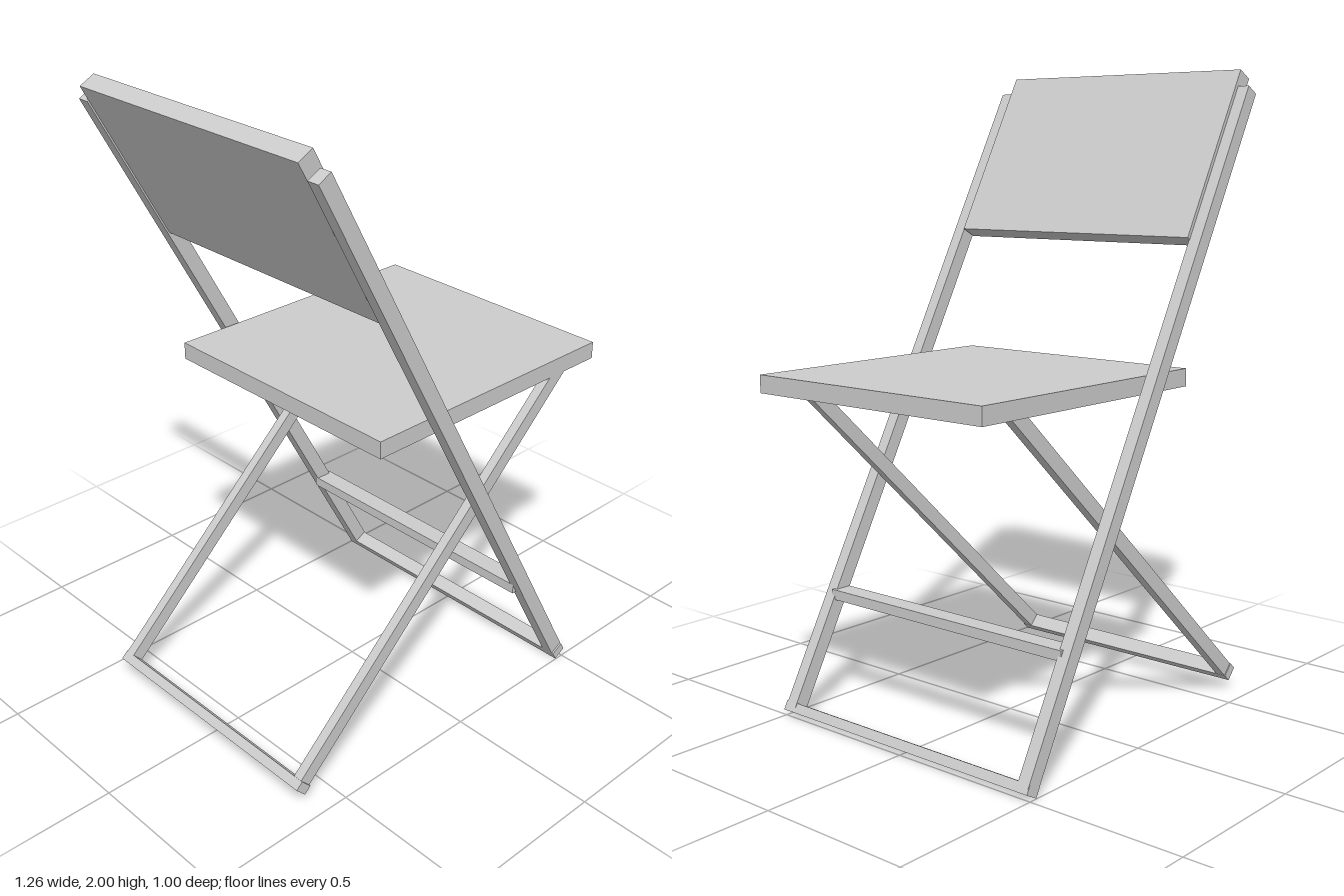
import * as THREE from 'three';

const material = new THREE.MeshStandardMaterial({ color: 0xcccccc, flatShading: true });

// Box given by its centre in x/y, its size in x/y, its z range and a tilt about z
function addBox(group, name, [x, y], [w, h], [z0, z1], tilt = 0) {
  const mesh = new THREE.Mesh(new THREE.BoxGeometry(w, h, z1 - z0), material);
  mesh.name = name;
  mesh.position.set(x, y, (z0 + z1) / 2);
  mesh.rotation.z = tilt;
  group.add(mesh);
}

// Straight bar running from a to b in the x/y plane
function addBar(group, name, a, b, width, zRange) {
  const dx = b[0] - a[0], dy = b[1] - a[1];
  addBox(group, name, [(a[0] + b[0]) / 2, (a[1] + b[1]) / 2],
    [Math.hypot(dx, dy), width], zRange, Math.atan2(dy, dx));
}

export function createModel() {
  const chair = new THREE.Group();
  chair.name = 'foldingChair';

  // Long rails: front feet up to the backrest
  const railFoot = [0.485, 0.025], railTop = [-0.555, 1.94];
  const railTilt = Math.atan2(railTop[1] - railFoot[1], railTop[0] - railFoot[0]);
  addBar(chair, 'leftRail', railFoot, railTop, 0.048, [0.452, 0.492]);
  addBar(chair, 'rightRail', railFoot, railTop, 0.048, [-0.497, -0.457]);

  // Crossing legs: rear feet up to the underside of the seat
  const legFoot = [-0.608, 0.06], legTop = [0.48, 1.066];
  const legTilt = Math.atan2(legTop[1] - legFoot[1], legTop[0] - legFoot[0]);
  addBar(chair, 'leftCrossLeg', legFoot, legTop, 0.046, [0.398, 0.429]);
  addBar(chair, 'rightCrossLeg', legFoot, legTop, 0.046, [-0.429, -0.397]);

  // Floor bars and rung
  addBox(chair, 'frontFootBar', [0.484, 0.025], [0.03, 0.046], [-0.498, 0.498], railTilt);
  addBox(chair, 'rearFootBar', legFoot, [0.03, 0.047], [-0.432, 0.434], legTilt);
  addBox(chair, 'rung', [0.298, 0.363], [0.064, 0.032], [-0.47, 0.464]);

  // Seat and backrest panels
  addBox(chair, 'seat', [0.165, 1.077], [0.93, 0.055], [-0.445, 0.43]);
  addBox(chair, 'backrest', [-0.435, 1.738], [0.57, 0.055], [-0.459, 0.442], railTilt);

  return chair;
}
